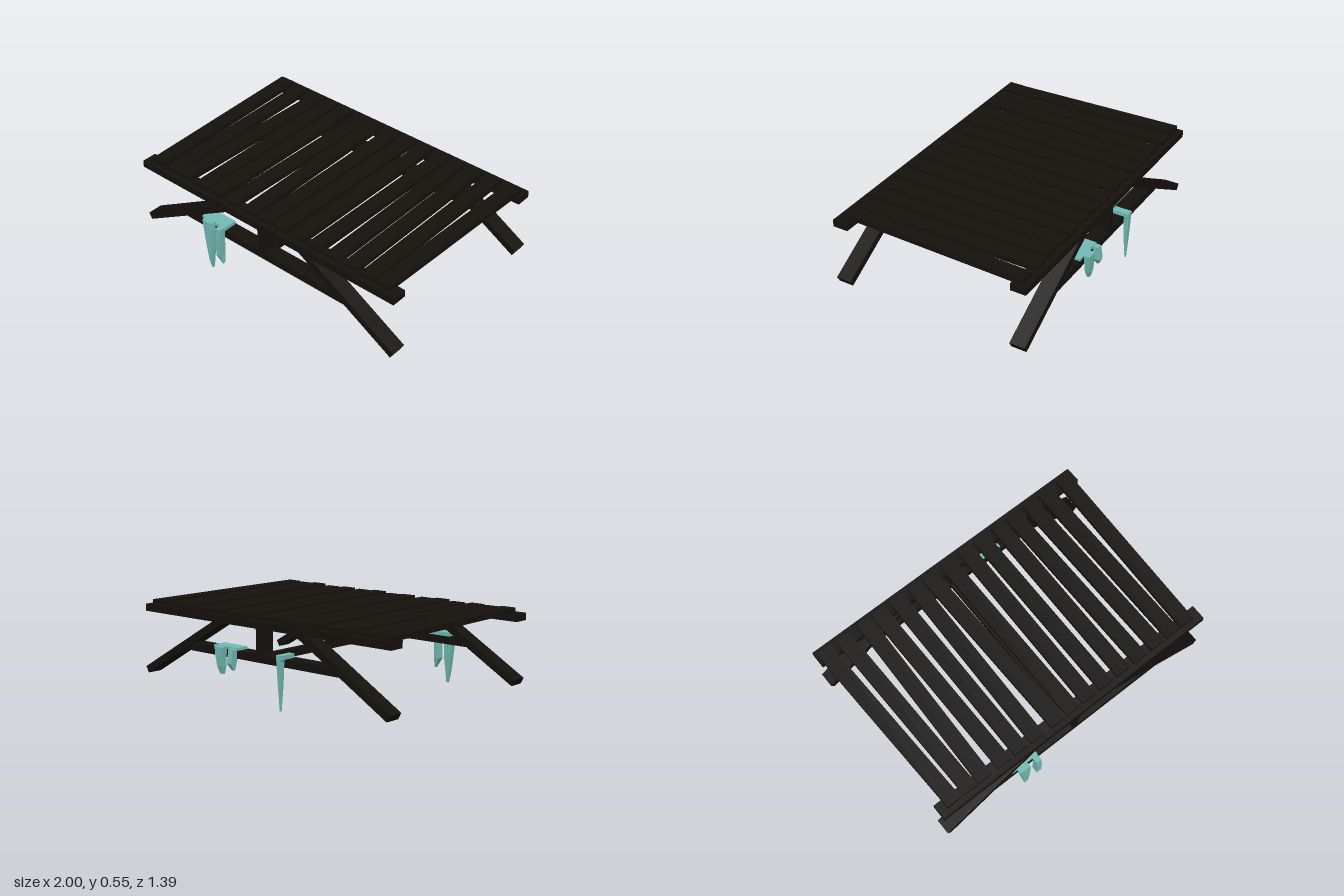
import * as THREE from 'three';

const wood = new THREE.MeshStandardMaterial({ color: 0x15110d, flatShading: true });
const ice = new THREE.MeshStandardMaterial({ color: 0x74beb6, flatShading: true });

function box(name, w, h, d, x, y, z, material = wood) {
  const mesh = new THREE.Mesh(new THREE.BoxGeometry(w, h, d), material);
  mesh.name = name;
  mesh.position.set(x, y, z);
  return mesh;
}

// Tapered four-sided bar; rings run from top to tip: [y, x0, x1, z0, z1]
function icicle(name, rings, side) {
  const n = rings.length - 1;
  const geo = new THREE.BoxGeometry(1, 1, 1, 1, n, 1);
  const p = geo.attributes.position;
  for (let i = 0; i < p.count; i++) {
    const [y, x0, x1, z0, z1] = rings[Math.round((0.5 - p.getY(i)) * n)];
    const outer = side > 0 ? p.getZ(i) > 0 : p.getZ(i) < 0;
    p.setXYZ(i, p.getX(i) > 0 ? x1 : x0, y, side * (outer ? z1 : z0));
  }
  geo.computeVertexNormals();
  const mesh = new THREE.Mesh(geo, ice);
  mesh.name = name;
  return mesh;
}

// Trestle side: top beam, lower rail, centre post and two splayed legs
function sideFrame(name, z) {
  const frame = new THREE.Group();
  frame.name = name;
  const depth = 0.1;
  frame.add(
    box('topBeam', 1.985, 0.045, depth, -0.0075, 0.5, 0),
    box('lowerRail', 1.26, 0.047, depth - 0.002, 0, 0.301, 0),
    box('centrePost', 0.047, 0.17, depth - 0.004, -0.01, 0.4, 0)
  );
  for (const s of [-1, 1]) {
    const foot = new THREE.Vector2(0.985, 0.1);
    const top = new THREE.Vector2(0.292, 0.502);
    const leg = box('leg', foot.distanceTo(top), 0.045, depth - 0.001,
      s * (foot.x + top.x) / 2, (foot.y + top.y) / 2, 0);
    leg.rotation.z = -s * Math.atan2(top.y - foot.y, foot.x - top.x);
    frame.add(leg);
  }
  frame.position.z = z;
  return frame;
}

export function createModel() {
  const model = new THREE.Group();
  model.name = 'plankTable';

  model.add(sideFrame('frontFrame', 0.598), sideFrame('backFrame', -0.598));

  // Bars joining the two frames
  model.add(
    box('lowerCrossBar', 0.047, 0.047, 1.12, -0.01, 0.301, 0),
    box('upperCrossBar', 0.047, 0.045, 1.12, -0.01, 0.5, 0)
  );

  // Crooked planks: centre x at the back end, centre x at the front end
  const planks = [
    [-0.936, -0.898], [-0.8, -0.778], [-0.644, -0.671], [-0.535, -0.527], [-0.4, -0.404],
    [-0.262, -0.281], [-0.152, -0.131], [-0.013, -0.011], [0.126, 0.11], [0.249, 0.243],
    [0.388, 0.377], [0.503, 0.511], [0.634, 0.644], [0.762, 0.767], [0.909, 0.88]
  ];
  const top = new THREE.Group();
  top.name = 'tableTop';
  planks.forEach(([back, front], i) => {
    const drop = [0, 0.006, 0.003, 0.008][i % 4];
    const plank = box('plank', 0.098, 0.033, 1.225, (back + front) / 2, 0.536 - drop, 0);
    plank.rotation.y = Math.atan2(front - back, 1.1);
    top.add(plank);
  });
  model.add(top);

  // Ice hanging over the front rail
  const frontIce = new THREE.Group();
  frontIce.name = 'frontIce';
  frontIce.add(
    box('iceCap', 0.19, 0.024, 0.09, -0.4, 0.338, 0.602, ice),
    icicle('longIcicle', [
      [0.354, -0.463, -0.388, 0.625, 0.68],
      [0.3, -0.455, -0.385, 0.648, 0.682],
      [0.17, -0.44, -0.39, 0.648, 0.682],
      [0.06, -0.425, -0.4, 0.655, 0.68],
      [0.004, -0.418, -0.402, 0.66, 0.67]], 1),
    icicle('shortIcicle', [
      [0.35, -0.345, -0.308, 0.625, 0.688],
      [0.27, -0.338, -0.308, 0.648, 0.695],
      [0.15, -0.345, -0.31, 0.65, 0.695],
      [0.09, -0.315, -0.307, 0.66, 0.676]], 1)
  );

  // Ice hanging over the back rail
  const backIce = new THREE.Group();
  backIce.name = 'backIce';
  backIce.add(
    box('iceCap', 0.2, 0.016, 0.085, 0.268, 0.333, -0.604, ice),
    icicle('wideIcicle', [
      [0.338, 0.255, 0.325, 0.625, 0.684],
      [0.28, 0.26, 0.318, 0.648, 0.684],
      [0.22, 0.262, 0.308, 0.648, 0.68],
      [0.175, 0.268, 0.295, 0.655, 0.67]], -1),
    icicle('smallIcicle', [
      [0.336, 0.172, 0.21, 0.625, 0.68],
      [0.25, 0.174, 0.21, 0.648, 0.695],
      [0.208, 0.176, 0.186, 0.66, 0.675]], -1),
    icicle('thinIcicle', [
      [0.35, -0.225, -0.18, 0.57, 0.68],
      [0.324, -0.223, -0.18, 0.57, 0.68],
      [0.315, -0.217, -0.183, 0.648, 0.68],
      [0.17, -0.211, -0.189, 0.65, 0.675],
      [0.02, -0.204, -0.196, 0.66, 0.668]], -1)
  );
  model.add(frontIce, backIce);
  return model;
}
